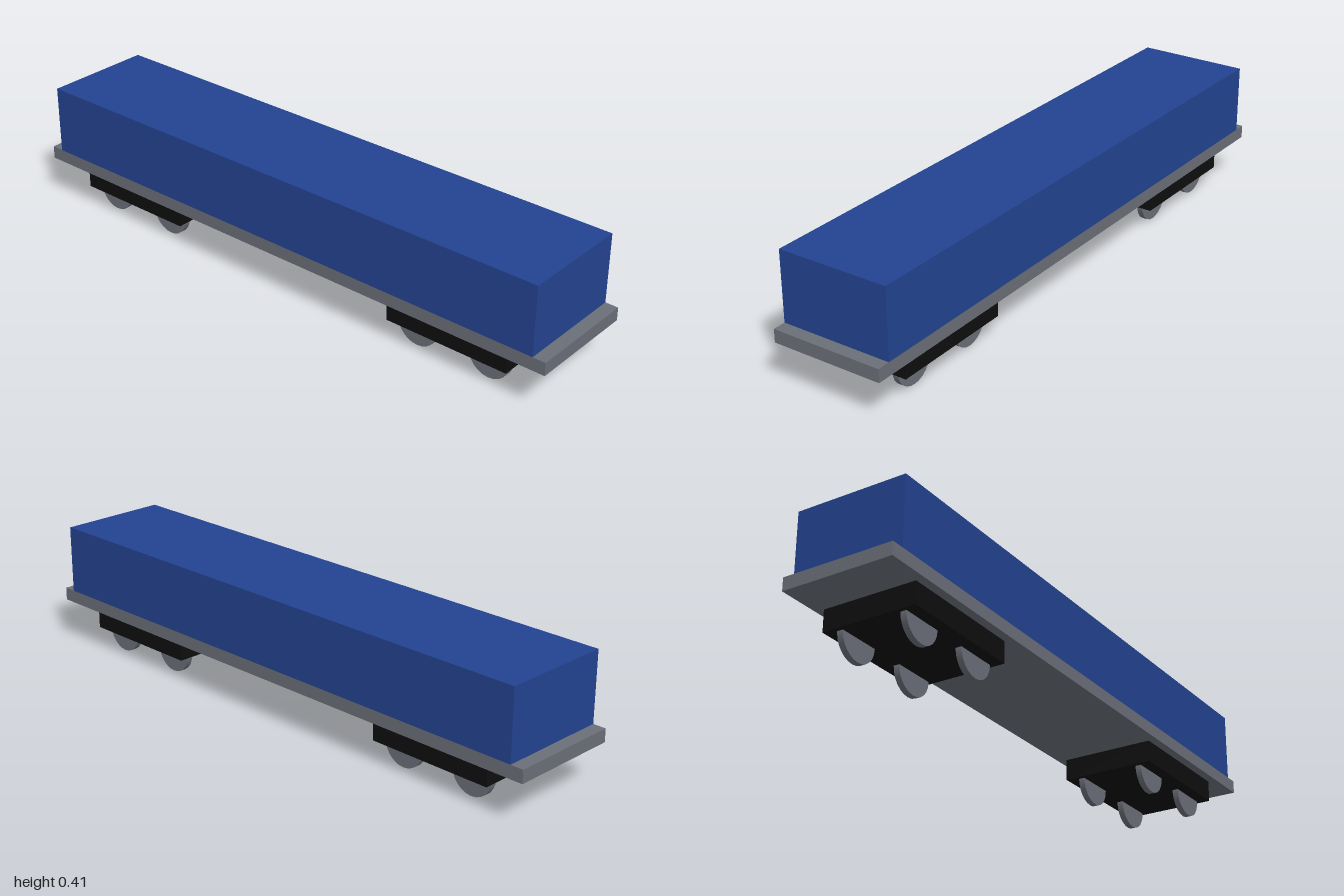
import * as THREE from 'three';

const material = (name, color) => {
  const m = new THREE.MeshStandardMaterial({ color });
  m.name = name;
  return m;
};

export function createModel() {
  const blue = material('body blue', 0x234390);
  const grey = material('steel grey', 0x6a6e77);
  const black = material('bogie black', 0x0e0e0e);

  const model = new THREE.Group();
  model.name = 'railCar';

  const add = (parent, name, geometry, mat, x, y, z) => {
    const mesh = new THREE.Mesh(geometry, mat);
    mesh.name = name;
    mesh.position.set(x, y, z);
    parent.add(mesh);
  };

  // Deck and closed body
  add(model, 'deck', new THREE.BoxGeometry(0.3714, 0.0429, 2), grey, 0, 0.1643, 0);
  add(model, 'body', new THREE.BoxGeometry(0.3714, 0.2286, 1.9143), blue, 0, 0.3, 0);

  // Two bogies, each with four wheels half sunk into the frame
  const frame = new THREE.BoxGeometry(0.3143, 0.0714, 0.4286);
  const wheel = new THREE.CylinderGeometry(0.0714, 0.0714, 0.02, 24).rotateZ(Math.PI / 2);
  for (const end of [1, -1]) {
    const bogie = new THREE.Group();
    bogie.name = end > 0 ? 'frontBogie' : 'rearBogie';
    bogie.position.z = end * 0.6429;
    add(bogie, 'bogieFrame', frame, black, 0, 0.1071, 0);
    for (const side of [1, -1]) {
      for (const axle of [1, -1]) {
        add(bogie, side > 0 ? 'leftWheel' : 'rightWheel', wheel, grey, side * 0.1075, 0.0714, axle * 0.1286);
      }
    }
    model.add(bogie);
  }

  return model;
}
